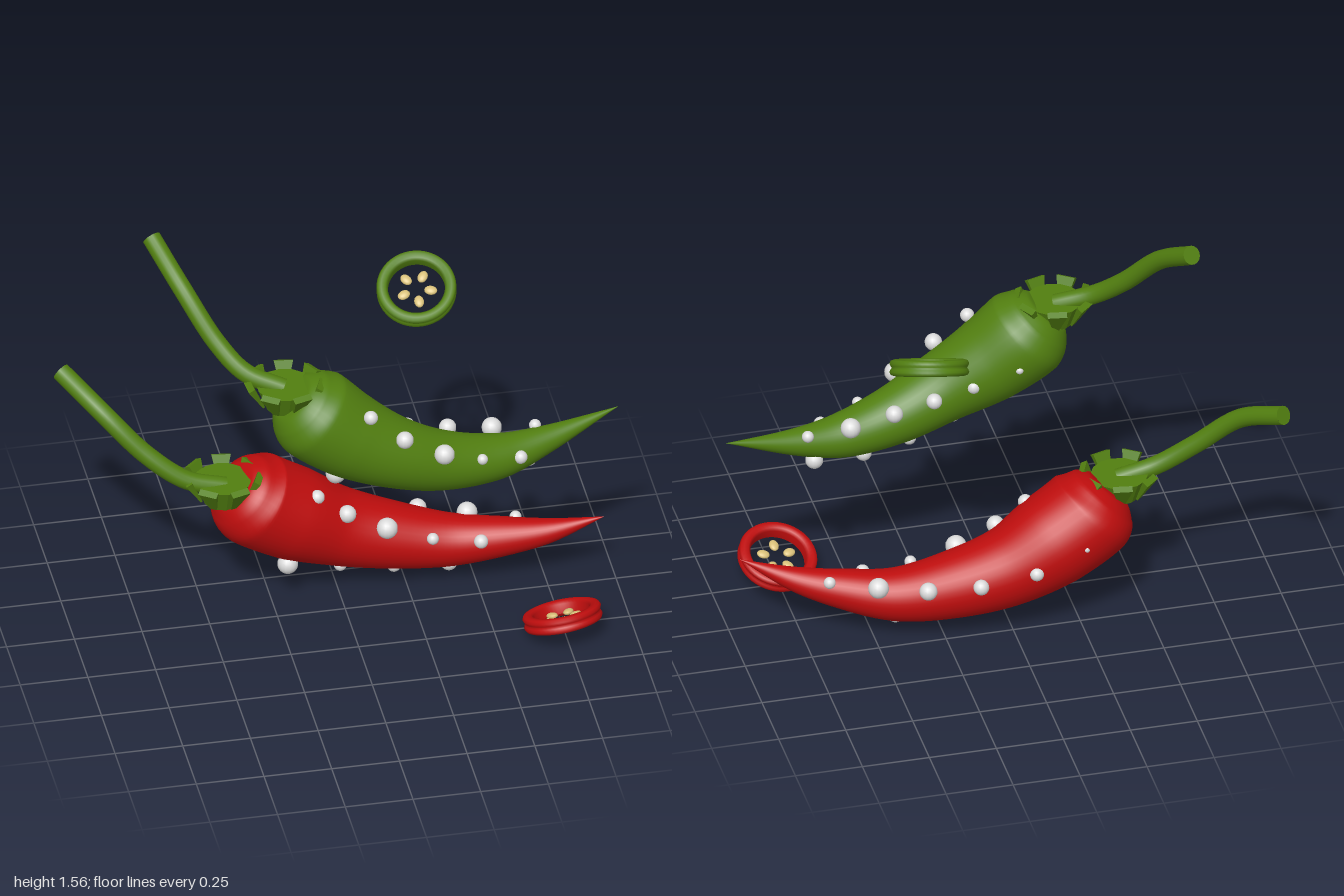
import * as THREE from 'three';

const mat = (name, color) => {
  const m = new THREE.MeshStandardMaterial({ color });
  m.name = name;
  return m;
};

const vec = (p) => new THREE.Vector3(p[0], p[1], p[2]);

// Faceted version of a geometry
const flat = (geo) => {
  const g = geo.toNonIndexed();
  g.computeVertexNormals();
  return g;
};

function add(parent, name, geo, material, pos = [0, 0, 0]) {
  const mesh = new THREE.Mesh(geo, material);
  mesh.name = name;
  mesh.position.set(...pos);
  parent.add(mesh);
  return mesh;
}

// Round sections swept along a path of [x, y, z, radius] stations
function sweptBody(stations, steps = 72, sides = 36) {
  const path = new THREE.CatmullRomCurve3(stations.map(vec));
  const radii = new THREE.CatmullRomCurve3(stations.map((s) => new THREE.Vector3(s[3], 0, 0)));
  const up = new THREE.Vector3(0, 1, 0);
  const positions = [], index = [];
  for (let i = 0; i <= steps; i++) {
    const t = i / steps;
    const c = path.getPoint(t), tangent = path.getTangent(t);
    const r = Math.max(0.0005, radii.getPoint(t).x);
    const side = new THREE.Vector3().crossVectors(tangent, up).normalize();
    const top = new THREE.Vector3().crossVectors(side, tangent);
    for (let j = 0; j < sides; j++) {
      const a = (j / sides) * Math.PI * 2;
      const p = c.clone().addScaledVector(side, Math.cos(a) * r * 1.04).addScaledVector(top, Math.sin(a) * r);
      positions.push(p.x, p.y, p.z);
      if (i < steps) {
        const k = i * sides + j, n = i * sides + ((j + 1) % sides);
        index.push(k, n, k + sides, n, n + sides, k + sides);
      }
    }
  }
  const geo = new THREE.BufferGeometry();
  geo.setAttribute('position', new THREE.Float32BufferAttribute(positions, 3));
  // Wind the faces so that they look outward
  const a = vec(positions.slice(index[0] * 3 + sides * 90)), mid = Math.floor(steps / 2) * sides * 6;
  const [p, q, s] = [0, 1, 2].map((k) => vec(positions.slice(index[mid + k] * 3, index[mid + k] * 3 + 3)));
  const normal = q.sub(p).cross(s.sub(p));
  if (normal.dot(p.clone().sub(path.getPoint(Math.floor(steps / 2) / steps))) < 0) index.reverse();
  geo.setIndex(index);
  geo.computeVertexNormals();
  return geo;
}

// Crown of flared lobes round a short faceted core
function calyx(material) {
  const g = new THREE.Group();
  g.name = 'calyx';
  add(g, 'calyxCore', flat(new THREE.CylinderGeometry(0.105, 0.07, 0.09, 14)), material, [0, -0.045, 0]);
  const lobeGeo = flat(new THREE.CylinderGeometry(0.05, 0.016, 0.11, 4).rotateY(Math.PI / 4).scale(1, 1, 0.35));
  for (let i = 0; i < 7; i++) {
    const pivot = new THREE.Group();
    pivot.name = 'lobe';
    pivot.rotation.y = (i / 7) * Math.PI * 2 + 0.3;
    add(pivot, 'calyxLobe', lobeGeo, material, [0, -0.03, 0.108]).rotation.x = 0.5;
    g.add(pivot);
  }
  return g;
}

function pepper(name, spec, skin, green, white) {
  const g = new THREE.Group();
  g.name = name;
  add(g, 'pepperBody', sweptBody(spec.body), skin);

  const crown = calyx(green);
  crown.position.set(...spec.calyx);
  g.add(crown);

  // Curved stem with a closed, cut end
  const curve = new THREE.CatmullRomCurve3(spec.stem.map(vec));
  add(g, 'stem', new THREE.TubeGeometry(curve, 32, 0.035, 16), green);
  const cap = add(g, 'stemEnd', new THREE.CircleGeometry(0.035, 16), green, spec.stem[spec.stem.length - 1]);
  cap.lookAt(cap.position.clone().add(curve.getTangent(1)));

  // Pale beads in rows along the skin
  const bead = new THREE.SphereGeometry(1, 16, 12);
  for (const [x, y, z, r] of spec.beads) add(g, 'bead', bead, white, [x, y, z]).scale.setScalar(r);
  return g;
}

// Hollow grooved slice with five loose seeds
function slice(name, skin, seedMat, pos, rx, rz) {
  const g = new THREE.Group();
  g.name = name;
  const profile = [
    [0.104, -0.018], [0.112, -0.028], [0.128, -0.03], [0.14, -0.026], [0.145, -0.016], [0.141, -0.006], [0.136, 0],
    [0.141, 0.006], [0.145, 0.016], [0.14, 0.026], [0.128, 0.03], [0.112, 0.028], [0.104, 0.018], [0.104, -0.018],
  ].map((p) => new THREE.Vector2(...p));
  add(g, 'sliceRing', new THREE.LatheGeometry(profile, 48), skin);
  const seed = new THREE.SphereGeometry(1, 14, 10);
  for (let i = 0; i < 5; i++) {
    const a = (i / 5) * Math.PI * 2 + 0.3;
    const s = add(g, 'seed', seed, seedMat, [Math.cos(a) * 0.052, 0, Math.sin(a) * 0.052]);
    s.scale.set(0.024, 0.011, 0.018);
    s.rotation.y = -a;
  }
  g.position.set(...pos);
  g.rotation.set(rx, 0, rz);
  return g;
}

const redSpec = {
  body: [
    [-0.385, 0.505, -0.155, 0], [-0.38, 0.5, -0.156, 0.09], [-0.355, 0.475, -0.16, 0.14], [-0.3, 0.42, -0.17, 0.175],
    [-0.165, 0.335, -0.182, 0.172], [0, 0.25, -0.19, 0.146], [0.2, 0.193, -0.175, 0.124], [0.41, 0.163, -0.145, 0.098],
    [0.6, 0.185, -0.095, 0.073], [0.76, 0.22, -0.047, 0.046], [0.955, 0.297, 0.015, 0],
  ],
  calyx: [-0.425, 0.545, -0.135],
  stem: [[-0.42, 0.52, -0.125], [-0.56, 0.56, -0.135], [-0.7, 0.66, -0.18], [-0.84, 0.8, -0.265], [-0.965, 0.895, -0.425]],
  beads: [
    [-0.085, 0.45, -0.09, 0.027], [0.025, 0.365, -0.085, 0.033], [0.17, 0.29, -0.075, 0.039], [0.335, 0.235, -0.055, 0.022], [0.51, 0.21, -0.04, 0.026],
    [-0.25, 0.38, -0.345, 0.015], [-0.065, 0.3, -0.345, 0.026], [0.135, 0.255, -0.315, 0.029], [0.32, 0.235, -0.265, 0.033], [0.49, 0.235, -0.2, 0.038], [0.655, 0.24, -0.13, 0.022],
    [-0.19, 0.16, -0.11, 0.038], [0.01, 0.11, -0.14, 0.024], [0.21, 0.075, -0.15, 0.026], [0.41, 0.072, -0.135, 0.032],
  ],
};

const greenSpec = {
  body: [
    [-0.235, 1.09, 0.17, 0], [-0.23, 1.085, 0.17, 0.09], [-0.2, 1.055, 0.172, 0.14], [-0.145, 1, 0.176, 0.17],
    [-0.02, 0.9, 0.188, 0.157], [0.15, 0.805, 0.195, 0.13], [0.335, 0.73, 0.17, 0.108], [0.54, 0.697, 0.132, 0.083],
    [0.715, 0.718, 0.095, 0.052], [1, 0.79, 0.04, 0],
  ],
  calyx: [-0.255, 1.135, 0.165],
  stem: [[-0.26, 1.12, 0.16], [-0.39, 1.17, 0.11], [-0.48, 1.26, 0.03], [-0.58, 1.42, -0.1], [-0.66, 1.54, -0.275]],
  beads: [
    [0.037, 1.035, 0.29, 0.026], [0.16, 0.93, 0.303, 0.032], [0.31, 0.835, 0.285, 0.037], [0.46, 0.76, 0.235, 0.02], [0.61, 0.72, 0.19, 0.025],
    [-0.09, 0.95, 0.015, 0.015], [0.07, 0.875, 0.06, 0.026], [0.215, 0.83, 0.068, 0.029], [0.365, 0.8, 0.065, 0.032], [0.53, 0.772, 0.055, 0.037], [0.69, 0.76, 0.055, 0.022],
    [-0.08, 0.765, 0.225, 0.037], [0.12, 0.69, 0.17, 0.023], [0.29, 0.637, 0.145, 0.026], [0.465, 0.612, 0.125, 0.03], [0.66, 0.64, 0.08, 0.033],
  ],
};

export function createModel() {
  const model = new THREE.Group();
  model.name = 'chiliPeppers';
  const green = mat('chiliGreen', 0x527f10);
  const red = mat('chiliRed', 0xbe0d0d);
  const white = mat('beadWhite', 0xdcdcdc);
  const seed = mat('seedTan', 0xd8bf78);

  model.add(pepper('redPepper', redSpec, red, green, white));
  model.add(pepper('greenPepper', greenSpec, green, green, white));
  model.add(slice('greenSlice', green, seed, [0.315, 1.198, -0.258], 0.53, 0.12));
  model.add(slice('redSlice', red, seed, [0.74, 0.087, 0.312], -0.36, 0.13));
  return model;
}
